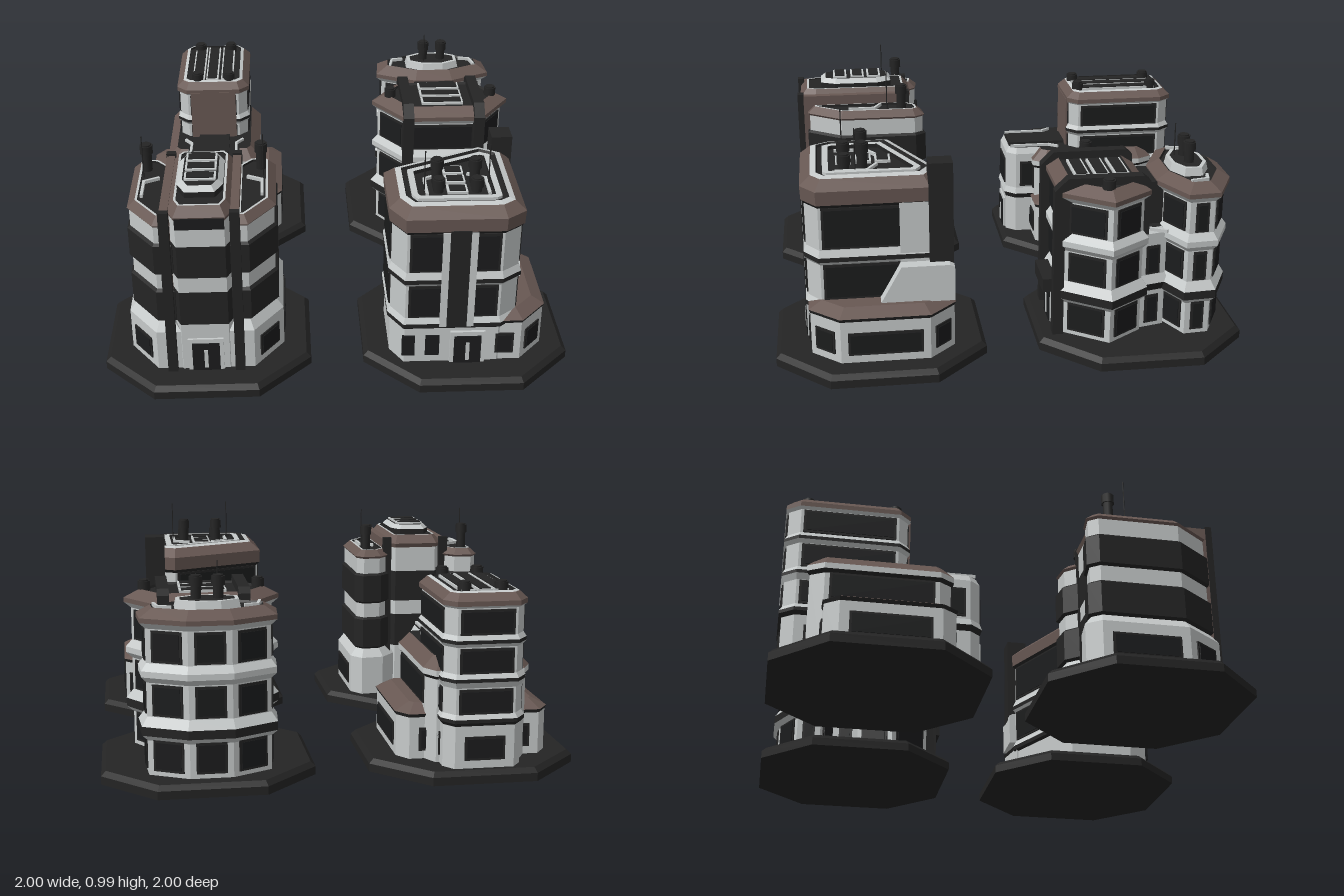
import * as THREE from 'three';

const mat = (name, color) => Object.assign(new THREE.MeshStandardMaterial({ color }), { name });
const L = mat('pale concrete', 0xc6caca), D = mat('dark metal', 0x242424),
  G = mat('black glass', 0x1b1c1d), B = mat('brown cladding', 0x685853);

// Orders an outline of [x, z] points so that outward normals are known.
function ordered(o) {
  let area = 0;
  o.forEach((p, i) => { const q = o[(i + 1) % o.length]; area += p[0] * q[1] - q[0] * p[1]; });
  return area > 0 ? o : [...o].reverse();
}

// Moves every edge of a convex outline outwards by d.
function grow(o, d) {
  const n = o.map((p, i) => {
    const q = o[(i + 1) % o.length], x = q[0] - p[0], z = q[1] - p[1], l = Math.hypot(x, z);
    return [z / l, -x / l];
  });
  return o.map((p, i) => {
    const a = n[(i + o.length - 1) % o.length], b = n[i], k = d / (1 + a[0] * b[0] + a[1] * b[1]);
    return [p[0] + (a[0] + b[0]) * k, p[1] + (a[1] + b[1]) * k];
  });
}

// Stacks an outline through rows of [y, offset, material of the band above].
function stack(parent, name, outline, rows) {
  const o = ordered(outline), n = o.length, faces = new Map();
  const rings = rows.map(([y, d]) => grow(o, d).map(([x, z]) => [x, y, z]));
  const tri = (m, ...pts) => {
    if (!faces.has(m)) faces.set(m, []);
    pts.forEach(p => faces.get(m).push(...p));
  };
  for (let r = 0; r < rows.length - 1; r++) for (let i = 0; i < n; i++) {
    const j = (i + 1) % n, a = rings[r][i], b = rings[r][j], c = rings[r + 1][j], d = rings[r + 1][i];
    tri(rows[r][2], a, d, c, a, c, b);
  }
  const top = rings[rings.length - 1], low = rings[0];
  for (let i = 1; i < n - 1; i++) {
    tri(rows[rows.length - 1][2], top[0], top[i + 1], top[i]);
    tri(rows[0][2], low[0], low[i], low[i + 1]);
  }
  const geo = new THREE.BufferGeometry(), pos = [];
  [...faces.values()].forEach((f, i) => { geo.addGroup(pos.length / 3, f.length / 3, i); for (const v of f) pos.push(v); });
  geo.setAttribute('position', new THREE.Float32BufferAttribute(pos, 3));
  geo.computeVertexNormals();
  const mesh = new THREE.Mesh(geo, [...faces.keys()]);
  mesh.name = name;
  parent.add(mesh);
}

// Box given by its limits.
function box(parent, name, m, x0, x1, y0, y1, z0, z1) {
  const mesh = new THREE.Mesh(new THREE.BoxGeometry(Math.abs(x1 - x0), y1 - y0, Math.abs(z1 - z0)), m);
  mesh.position.set((x0 + x1) / 2, (y0 + y1) / 2, (z0 + z1) / 2);
  mesh.name = name;
  parent.add(mesh);
}

// One window plate on every long enough edge of an outline.
function windows(parent, outline, off, y0, y1, margin, min = 0.07) {
  const o = grow(ordered(outline), off);
  o.forEach((p, i) => {
    const q = o[(i + 1) % o.length], x = q[0] - p[0], z = q[1] - p[1], len = Math.hypot(x, z);
    if (len < min) return;
    const w = len - 2 * margin, h = y1 - y0;
    [[w, h, 0.012, D], [w - 0.02, h - 0.02, 0.018, G]].forEach(([a, b, t, m]) => {
      const mesh = new THREE.Mesh(new THREE.BoxGeometry(a, b, t), m);
      mesh.position.set((p[0] + q[0]) / 2, (y0 + y1) / 2, (p[1] + q[1]) / 2);
      mesh.rotation.y = Math.atan2(-z, x);
      mesh.name = 'window';
      parent.add(mesh);
    });
  });
}

function pipe(parent, name, x, z, y0, y1, r, m = D) {
  const mesh = new THREE.Mesh(new THREE.CylinderGeometry(r, r, y1 - y0, 10), m);
  mesh.position.set(x, (y0 + y1) / 2, z);
  mesh.name = name;
  parent.add(mesh);
}
function vent(parent, x, z, y0, y1) {
  pipe(parent, 'vent', x, z, y0, y1, 0.022);
  pipe(parent, 'ventCap', x, z, y1 - 0.045, y1 - 0.006, 0.028);
}
const antenna = (parent, x, z, y0, y1) => pipe(parent, 'antenna', x, z, y0, y1, 0.0025);

// Dark roof panel with a pale rim.
function hatch(parent, x0, x1, z0, z1, y, t = 0.009) {
  box(parent, 'hatchRim', L, x0, x1, y, y + 0.012, z0, z1);
  box(parent, 'hatch', D, x0 + t, x1 - t, y, y + 0.016, z0 + t, z1 - t);
}

// Pale raised line on a roof.
function trim(parent, y, pts) {
  for (let i = 0; i < pts.length - 1; i++) {
    const [x, z] = pts[i], [u, v] = pts[i + 1], len = Math.hypot(u - x, v - z);
    const m = new THREE.Mesh(new THREE.BoxGeometry(len + 0.008, 0.014, 0.012), L);
    m.position.set((x + u) / 2, y, (z + v) / 2);
    m.rotation.y = Math.atan2(x === u && z === v ? 0 : z - v, u - x);
    m.name = 'roofTrim';
    parent.add(m);
  }
}

function door(parent, x, z) {
  box(parent, 'doorFrame', L, x - 0.075, x + 0.075, 0.055, 0.21, z - 0.04, z);
  box(parent, 'door', G, x - 0.058, x + 0.058, 0.055, 0.19, z - 0.02, z + 0.005);
  box(parent, 'doorStrip', L, x - 0.008, x + 0.008, 0.07, 0.16, z, z + 0.009);
}

const mirrored = (half, cx) => [...half.map(([u, z]) => [cx + u, z]), ...[...half].reverse().map(([u, z]) => [cx - u, z])];

// Tapered block with a side annex and a tall dark fin.
function cornerBlock(g) {
  const o = [[.225, .47], [.64, .28], [.755, .35], [.755, .8], [.68, .855], [.28, .855], [.225, .76]];
  stack(g, 'mainBlock', o, [[.055, 0, L], [.225, 0, D], [.235, .012, D], [.255, .012, L], [.28, 0, L], [.44, 0, L],
    [.455, .012, D], [.475, .012, L], [.505, 0, L], [.69, 0, D], [.705, .012, B], [.765, .015, B], [.805, -.03, L],
    [.812, -.055, D], [.8, -.06, D], [.8, -.08, L], [.812, -.08, L], [.812, -.105, D], [.795, -.105, D]]);
  windows(g, o, 0, .285, .44, .012, .2);
  windows(g, o, 0, .51, .69, .012, .2);
  box(g, 'frontSlot', D, .455, .54, .24, .71, .8, .872);
  [.44, .555].forEach(x => box(g, 'slotRib', L, x - .015, x + .015, .24, .7, .8, .868));
  [[.24, .295], [.34, .4]].forEach(([a, b]) => box(g, 'groundWindow', G, a + .03, b + .03, .09, .19, .85, .861));
  door(g, .55, .868);
  const a = [[.62, .28], [.78, .25], [.89, .36], [.89, .73], [.78, .85], [.64, .85]];
  stack(g, 'annex', a, [[.055, 0, L], [.24, 0, D], [.255, .006, B], [.285, -.05, B]]);
  windows(g, a, 0, .09, .19, .03, .12);
  // Pale buttress with a slanted front under the fin
  const s = new THREE.Shape([[-.56, .28], [-.25, .28], [-.25, .43], [-.27, .44], [-.47, .44]].map(p => new THREE.Vector2(...p)));
  const b = new THREE.Mesh(new THREE.ExtrudeGeometry(s, { depth: .17, bevelEnabled: false }), L);
  b.rotation.y = Math.PI / 2;
  b.position.x = .65;
  b.name = 'buttress';
  g.add(b);
  box(g, 'cornerWall', L, .66, .765, .44, .72, .34, .47);
  box(g, 'fin', D, .69, .78, .42, .87, .25, .35);
  [.49, .57, .655].forEach(z => hatch(g, .455, .54, z, z + .065, .797));
  for (const x of [.42, .58]) { vent(g, x, .61, .79, .91); vent(g, x, .685, .79, .86); }
  trim(g, .8, [[.37, .72], [.37, .59], [.44, .55]]);
  trim(g, .8, [[.63, .72], [.63, .59], [.56, .55]]);
  antenna(g, .36, .69, .79, .985);
  antenna(g, .635, .64, .79, .985);
}

// Symmetrical block with two wings around a taller core.
function wingedBlock(g) {
  const cx = -.56;
  const core = mirrored([[.1, .345], [.13, .39], [.13, .8], [.1, .865]], cx);
  stack(g, 'core', core, [[.055, 0, L], [.28, 0, D], [.44, 0, L], [.51, 0, D], [.66, 0, L], [.78, 0, B], [.8, .008, B],
    [.84, -.025, L], [.84, -.035, D], [.835, -.035, D]]);
  box(g, 'topWindow', G, cx - .1, cx + .1, .745, .795, .85, .874);
  stack(g, 'roofBox', mirrored([[.055, .44], [.085, .5], [.085, .7], [.055, .76]], cx), [[.83, .01, D], [.86, .01, L], [.88, -.012, D]]);
  [.48, .56, .645].forEach(z => hatch(g, cx - .065, cx + .065, z, z + .065, .876));
  door(g, cx, .875);
  for (const s of [-1, 1]) {
    const wing = [[.13, .37], [.19, .3], [.27, .29], [.3, .33], [.3, .68], [.19, .83], [.13, .83]].map(([u, z]) => [cx + s * u, z]);
    stack(g, 'wing', wing, [[.055, .03, L], [.24, .03, L], [.28, 0, D], [.29, .012, D], [.43, .012, D], [.44, 0, L], [.51, 0, D],
      [.52, .012, D], [.65, .012, D], [.66, 0, L], [.735, 0, B], [.745, .008, B], [.775, -.025, L], [.775, -.035, D], [.765, -.035, D]]);
    windows(g, wing, .03, .09, .19, .04, .12);
    box(g, 'sideFin', B, cx + s * .125, cx + s * .16, .055, .82, .35, .868);
    for (const z of [.36, .872]) box(g, 'column', D, cx + s * .122, cx + s * .163, .055, .83, z - .014, z + .014);
    vent(g, cx + s * .245, .39, .76, .89);
    antenna(g, cx + s * .255, .46, .76, .96);
    trim(g, .775, [[cx + s * .25, .64], [cx + s * .25, .52], [cx + s * .19, .49]]);
  }
}

// Two faceted bodies joined by a narrow link.
function twinBlock(g) {
  const cx = .555;
  const floors = [[.055, -.01, L], [.2, -.01, L], [.225, .015, D], [.262, .015, L], [.3, -.01, L], [.44, -.01, L], [.465, .012, L],
    [.49, .012, L], [.52, -.01, L], [.66, -.01, L], [.685, .015, B], [.705, .015, B], [.74, -.04, D], [.73, -.045, D]];
  const front = mirrored([[.18, -.21], [.315, -.4], [.2, -.565]], cx);
  const rear = mirrored([[.09, -.935], [.26, -.85], [.27, -.73], [.09, -.645]], cx);
  for (const [name, o] of [['frontBody', front], ['rearBody', rear]]) {
    stack(g, name, o, floors);
    for (const y of [.075, .305, .525]) windows(g, o, -.01, y, y + .13, .025);
  }
  const link = mirrored([[.18, -.55], [.15, -.67]], cx);
  stack(g, 'link', link, [[.055, 0, L], [.225, 0, D], [.262, .015, L], [.3, 0, L], [.49, 0, L], [.51, -.02, D]]);
  for (const y of [.075, .305]) windows(g, link, 0, y, y + .13, .03);
  stack(g, 'linkCore', mirrored([[.1, -.52], [.1, -.7]], cx), [[.5, 0, D], [.7, 0, D]]);
  trim(g, .515, [[.35, -.655], [.39, -.585], [.72, -.585], [.76, -.655]]);
  // Ribs arching over the roof and down the front
  const rib = new THREE.Shape([[.58, .5], [.58, .74], [.55, .765], [.23, .765], [.175, .71], [.175, .055], [.22, .055], [.22, .5]].map(p => new THREE.Vector2(...p)));
  for (const x of [.385, .725]) {
    const m = new THREE.Mesh(new THREE.ExtrudeGeometry(rib, { depth: .05, bevelEnabled: false }), D);
    m.rotation.y = Math.PI / 2;
    m.position.x = x - .025;
    m.name = 'rib';
    g.add(m);
  }
  box(g, 'porch', D, .45, .66, .215, .275, -.22, -.145);
  door(g, cx, -.185);
  [-.51, -.425, -.34].forEach(z => hatch(g, .455, .655, z, z + .065, .735));
  for (const x of [.31, .80]) vent(g, x, -.39, .71, .78);
  stack(g, 'rearRoofBox', mirrored([[.05, -.855], [.125, -.815], [.125, -.745], [.05, -.705]], cx), [[.72, .01, L], [.765, 0, L], [.765, -.015, D]]);
  for (const x of [.51, .6]) vent(g, x, -.78, .75, .86);
  antenna(g, .51, -.74, .74, .91);
  for (const s of [-1, 1]) trim(g, .74, [[cx + s * .15, -.83], [cx + s * .2, -.82], [cx + s * .215, -.75]]);
}

// Stepped block with a tower at the back.
function steppedBlock(g) {
  const cx = -.56;
  const ground = mirrored([[.28, -.27], [.325, -.33], [.325, -.74], [.28, -.8]], cx);
  stack(g, 'groundTier', ground, [[.055, 0, L], [.235, 0, D], [.25, .006, B], [.285, -.06, B]]);
  windows(g, ground, 0, .09, .19, .04, .15);
  const middle = mirrored([[.18, -.28], [.215, -.33], [.215, -.8], [.18, -.86]], cx);
  stack(g, 'middleTier', middle, [[.055, 0, L], [.41, 0, D], [.425, .012, L], [.45, .012, B], [.5, -.035, D]]);
  windows(g, middle, 0, .29, .41, .02, .15);
  const nose = mirrored([[.1, -.145], [.14, -.19], [.14, -.5]], cx);
  stack(g, 'frontTier', nose, [[.055, 0, L], [.235, 0, D], [.26, .01, L], [.29, 0, L], [.47, 0, L], [.5, -.015, D]]);
  windows(g, nose, 0, .3, .43, .02, .15);
  door(g, cx, -.137);
  box(g, 'frontRoofStrip', D, cx - .075, cx + .075, .49, .512, -.45, -.165);
  for (const s of [-1, 1]) trim(g, .505, [[cx + s * .11, -.17], [cx + s * .11, -.36], [cx + s * .14, -.4]]);
  const tower = mirrored([[.125, -.96], [.165, -.91], [.165, -.5], [.125, -.46]], cx);
  const rows = [[.055, 0, L], [.235, 0, D]];
  for (const y of [.25, .42, .58]) rows.push([y, .012, D], [y + .015, .012, L], [y + .035, 0, L], [y + .145, 0, L]);
  stack(g, 'tower', tower, [...rows, [.735, .012, B], [.755, .012, B], [.785, -.02, L], [.79, -.035, D], [.78, -.035, D]]);
  for (const y of [.285, .455, .615]) windows(g, tower, 0, y, y + .105, .012, .15);
  windows(g, tower, 0, .09, .19, .04, .15);
  box(g, 'towerFrontPanel', B, cx - .11, cx + .11, .5, .74, -.5, -.446);
  [-.1, -.033, .04].forEach(x => hatch(g, cx + x, cx + x + .06, -.9, -.5, .78, .007));
  for (const x of [-.075, .08]) for (const z of [-.88, -.51]) vent(g, cx + x, z, .77, .825);
}

export function createModel() {
  const model = new THREE.Group();
  model.name = 'buildingSet';
  const sites = [['cornerBlock', cornerBlock, 1, 1], ['wingedBlock', wingedBlock, -1, 1],
    ['twinBlock', twinBlock, 1, -1], ['steppedBlock', steppedBlock, -1, -1]];
  for (const [name, build, sx, sz] of sites) {
    const g = new THREE.Group(), x = sx * .557, z = sz * .557, a = .443, c = .22;
    g.name = name;
    stack(g, 'base', mirrored([[c, z - a], [a, z - c], [a, z + c], [c, z + a]], x), [[0, 0, D], [.035, 0, D], [.055, -.02, D]]);
    build(g);
    model.add(g);
  }
  return model;
}
